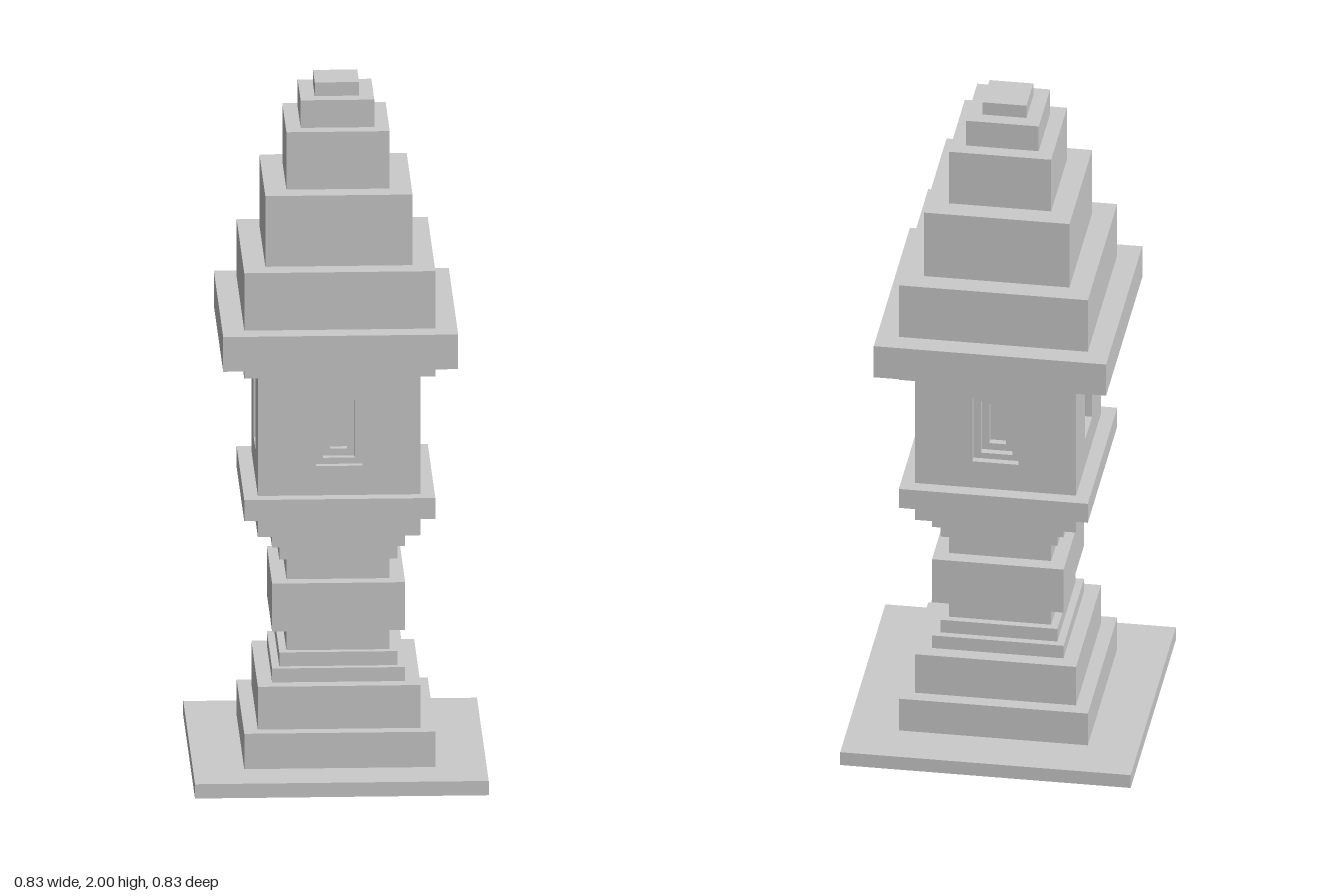
import * as THREE from 'three';

const material = new THREE.MeshStandardMaterial({ color: 0xcccccc, flatShading: true });

// Square tiers from the ground up: name, half width, top height
const LOWER = [
  ['base', 0.415, 0.042],
  ['plinthLower', 0.27, 0.146],
  ['plinthUpper', 0.23, 0.272],
  ['lowerStepWide', 0.188, 0.313],
  ['lowerStepNarrow', 0.167, 0.354],
  ['lowerNeck', 0.146, 0.422],
  ['shaftBlock', 0.188, 0.563],
  ['upperNeck', 0.146, 0.627],
  ['upperStepNarrow', 0.167, 0.669],
  ['upperStepWide', 0.188, 0.713],
  ['chamberSupport', 0.23, 0.772],
  ['chamberLedge', 0.27, 0.834],
];
const UPPER = [
  ['cornice', 0.27, 1.231],
  ['eaves', 0.332, 1.333],
  ['roofTier1', 0.27, 1.502],
  ['roofTier2', 0.208, 1.71],
  ['roofTier3', 0.146, 1.879],
  ['roofTier4', 0.104, 1.96],
  ['finial', 0.0625, 2],
];
const CHAMBER = { half: 0.23, bottom: 0.834, top: 1.192, step: 0.021 };

// Windows narrow in three recessed steps: half width, bottom, top
const WINDOW_STEPS = [
  [0.066, 0.92, 1.129],
  [0.045, 0.938, 1.108],
  [0.024, 0.959, 1.087],
];

function addMesh(parent, geometry, name) {
  const mesh = new THREE.Mesh(geometry, material);
  mesh.name = name;
  parent.add(mesh);
  return mesh;
}

function addTier(parent, name, half, bottom, top) {
  const mesh = addMesh(parent, new THREE.BoxGeometry(half * 2, top - bottom, half * 2), name);
  mesh.position.y = (bottom + top) / 2;
}

function addStack(parent, tiers, bottom) {
  for (const [name, half, top] of tiers) {
    addTier(parent, name, half, bottom, top);
    bottom = top;
  }
}

function tracePath(path, half, bottom, top) {
  path.moveTo(-half, bottom);
  path.lineTo(half, bottom);
  path.lineTo(half, top);
  path.lineTo(-half, top);
  path.closePath();
  return path;
}

// Chamber: a solid core clad on each side with pierced layers
function buildChamber() {
  const { half, bottom, top, step } = CHAMBER;
  const chamber = new THREE.Group();
  chamber.name = 'chamber';
  addTier(chamber, 'chamberCore', half - step * WINDOW_STEPS.length, bottom, top);

  for (let side = 0; side < 4; side++) {
    const wall = new THREE.Group();
    wall.name = 'windowWall';
    wall.rotation.y = side * Math.PI / 2;
    WINDOW_STEPS.forEach((opening, i) => {
      const outer = half - step * i;
      // Side walls fit between the front and back walls
      const width = side % 2 ? outer - step : outer;
      const shape = tracePath(new THREE.Shape(), width, bottom, top);
      shape.holes.push(tracePath(new THREE.Path(), ...opening));
      const panel = new THREE.ExtrudeGeometry(shape, { depth: step, bevelEnabled: false });
      addMesh(wall, panel, 'windowFrame').position.z = outer - step;
    });
    chamber.add(wall);
  }
  return chamber;
}

export function createModel() {
  const model = new THREE.Group();
  model.name = 'stoneLantern';
  addStack(model, LOWER, 0);
  model.add(buildChamber());
  addStack(model, UPPER, CHAMBER.top);
  return model;
}
